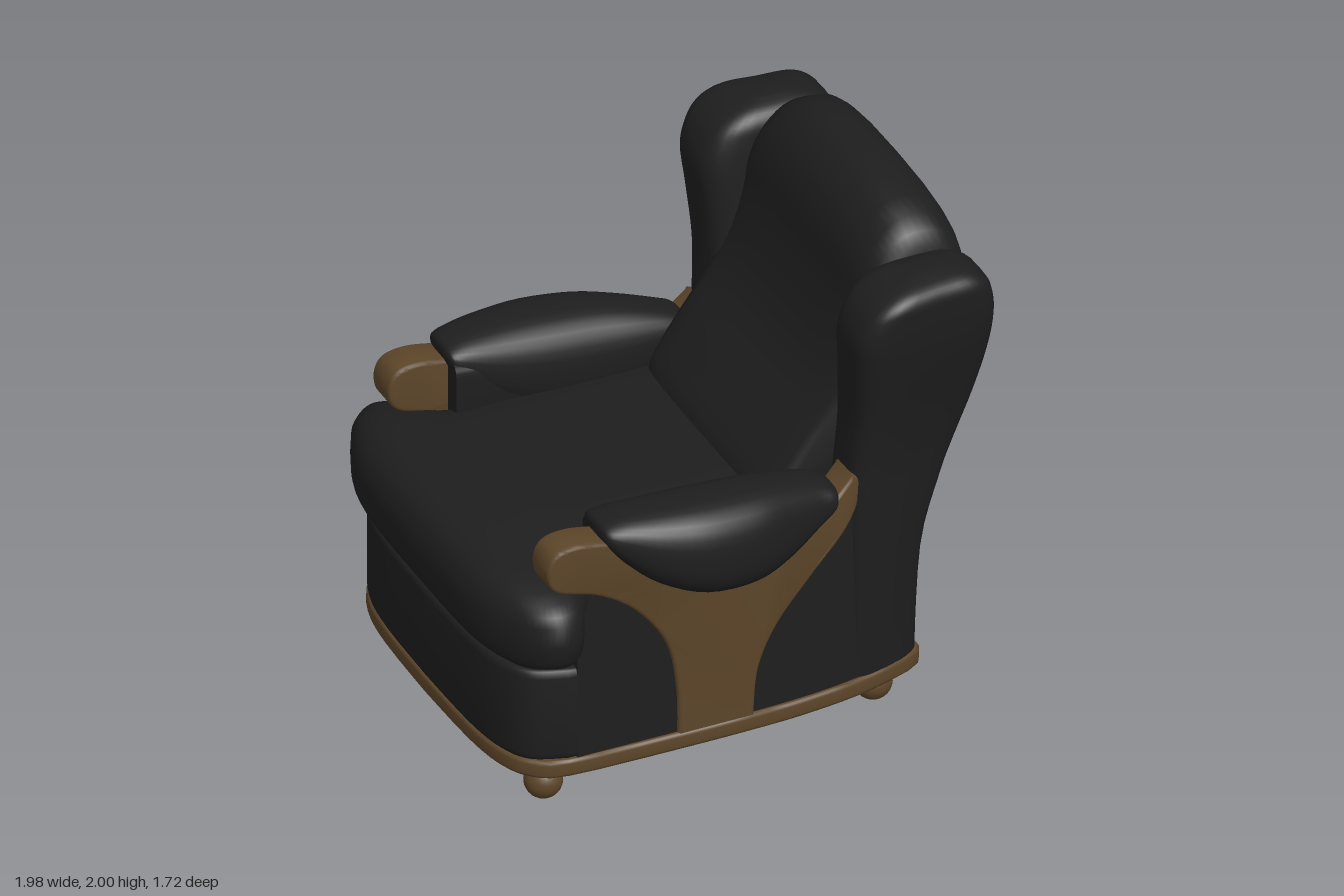
import * as THREE from 'three';
import { toCreasedNormals } from 'three/addons/utils/BufferGeometryUtils.js';

const leather = new THREE.MeshStandardMaterial({ color: 0x1e1e1e });
leather.name = 'black leather';
const wood = new THREE.MeshStandardMaterial({ color: 0x5c4529 });
wood.name = 'brown wood';

const V2 = (p) => new THREE.Vector2(p[0], p[1]);
const V3 = (x, y, z) => new THREE.Vector3(x, y, z);
const clamp01 = (t) => Math.min(1, Math.max(0, t));

// How far the sides of the chair curve inwards towards the back
const inward = (x) => 0.14 * Math.pow(clamp01((x + 0.3) / 1.04), 3.5);

// Skin through closed rings of equal length, capped at both ends, faces outward
function loft(rings) {
  const n = rings[0].length, pos = [], idx = [];
  rings.forEach((r) => r.forEach((p) => pos.push(p.x, p.y, p.z)));
  for (let i = 0; i < rings.length - 1; i++) {
    for (let j = 0; j < n; j++) {
      const a = i * n + j, b = i * n + (j + 1) % n;
      idx.push(a, b, a + n, b, b + n, a + n);
    }
  }
  [0, rings.length - 1].forEach((k) => {
    const c = rings[k].reduce((s, p) => s.add(p), V3(0, 0, 0)).divideScalar(n);
    const ci = pos.length / 3;
    pos.push(c.x, c.y, c.z);
    for (let j = 0; j < n; j++) {
      const a = k * n + j, b = k * n + (j + 1) % n;
      if (k === 0) idx.push(ci, b, a);
      else idx.push(ci, a, b);
    }
  });
  // Turn the skin right side out if its volume is negative
  const at = (i) => V3(pos[3 * i], pos[3 * i + 1], pos[3 * i + 2]);
  let volume = 0;
  for (let i = 0; i < idx.length; i += 3) {
    volume += at(idx[i]).dot(at(idx[i + 1]).cross(at(idx[i + 2])));
  }
  if (volume < 0) idx.reverse();
  const g = new THREE.BufferGeometry();
  g.setAttribute('position', new THREE.Float32BufferAttribute(pos, 3));
  g.setIndex(idx);
  return toCreasedNormals(g, 0.9);
}

// Rounded rectangle cross-section: calls place(u, v) around the rim
function roundedRing(a0, a1, b0, b1, power, place) {
  const ring = [], N = 32;
  const bulge = (t) => Math.sign(t) * Math.pow(Math.abs(t), 2 / power);
  for (let i = 0; i < N; i++) {
    const t = (i / N) * Math.PI * 2;
    ring.push(place((a0 + a1) / 2 + ((a1 - a0) / 2) * bulge(Math.cos(t)),
      (b0 + b1) / 2 + ((b1 - b0) / 2) * bulge(Math.sin(t))));
  }
  return ring;
}

// Fill in smooth rows between the given section rows
function smoothRows(rows, count) {
  const columns = rows[0].map((_, c) => new THREE.SplineCurve(rows.map((r, i) => V2([i, r[c]]))));
  return Array.from({ length: count + 1 }, (_, k) => columns.map((s) => s.getPoint(k / count).y));
}

// Bevelled slab whose outer size stays that of the shape; spans 0..height
function slab(shape, height, size, thick) {
  const g = new THREE.ExtrudeGeometry(shape, {
    depth: height - 2 * thick, bevelSize: size, bevelOffset: -size,
    bevelThickness: thick, bevelSegments: 3, curveSegments: 12,
  });
  g.translate(0, 0, thick);
  return g;
}

// Plan outline, symmetric about z = 0, from a smooth curve through half of its points
function planShape(half, tail) {
  const pts = [...new THREE.SplineCurve(half.map(V2)).getPoints(30), ...tail.map(V2)];
  const other = pts.slice(1).map((p) => new THREE.Vector2(p.x, -p.y)).reverse();
  return new THREE.Shape([...pts, ...other]);
}

const bow = [[-0.954, 0], [-0.945, 0.35], [-0.915, 0.55], [-0.85, 0.67], [-0.72, 0.727]];

export function createModel() {
  const model = new THREE.Group();
  const add = (name, geometry, material) => {
    const m = new THREE.Mesh(geometry, material);
    m.name = name;
    model.add(m);
    return m;
  };
  const addFlat = (name, geometry, material, y) => {
    geometry.rotateX(-Math.PI / 2);
    geometry.translate(0, y, 0);
    return add(name, toCreasedNormals(geometry, 0.7), material);
  };

  // Open base rail: bowed front, sides curving in to a narrower back
  const sides = [-0.3, 0, 0.2, 0.4, 0.55, 0.68].map((x) => [x, 0.737 - inward(x)]);
  const rail = planShape([...bow, ...sides], [[0.725, 0.595], [0.742, 0.565]]);
  rail.holes.push(new THREE.Path(rail.getPoints().map(
    (p) => new THREE.Vector2(-0.1 + (p.x + 0.1) * 0.88, p.y * 0.865)).reverse()));
  addFlat('baseRail', slab(rail, 0.07, 0.012, 0.015), wood, 0.14);

  // Ball feet, the front pair set wider
  for (const [x, z] of [[-0.765, 0.6], [-0.765, -0.6], [0.58, 0.52], [0.58, -0.52]]) {
    add('foot', new THREE.SphereGeometry(0.072, 24, 16), wood).position.set(x, 0.072, z);
  }

  // Front apron under the seat
  const apron = planShape(bow.map(([x, z]) => [x, z * 0.985]), [[-0.66, 0.717]]);
  addFlat('frontApron', slab(apron, 0.38, 0.02, 0.03), leather, 0.205);

  // Seat cushion: fat front roll wider than the arms, thinner deck behind
  // rows: x, bottom, top, half width
  const seat = smoothRows([[-0.995, 0.69, 0.8, 0.32], [-0.985, 0.66, 0.84, 0.47], [-0.955, 0.61, 0.895, 0.6],
    [-0.89, 0.58, 0.935, 0.74], [-0.8, 0.575, 0.948, 0.812], [-0.71, 0.575, 0.946, 0.795],
    [-0.65, 0.6, 0.944, 0.71], [-0.58, 0.74, 0.942, 0.61], [-0.4, 0.77, 0.94, 0.6],
    [0, 0.77, 0.94, 0.6], [0.35, 0.77, 0.94, 0.58]], 50);
  add('seatCushion', loft(seat.map(([x, y0, y1, w]) =>
    roundedRing(y0, y1, -w, w, 3.6, (y, z) => V3(x, y, z)))), leather);

  // Reclined backrest, lofted across its width from a side profile
  const profile = new THREE.CatmullRomCurve3([
    [0.735, 0.21], [0.75, 0.65], [0.82, 0.95], [0.92, 1.25], [0.974, 1.5], [0.986, 1.66], [0.975, 1.725],
    [0.963, 1.735], [0.963, 1.78], [0.95, 1.88], [0.87, 1.983], [0.73, 1.998], [0.63, 1.92], [0.57, 1.8],
    [0.53, 1.6], [0.43, 1.33], [0.25, 1.09], [0.14, 0.92], [0.18, 0.75], [0.45, 0.6], [0.62, 0.45],
    [0.65, 0.21],
  ].map(([x, y]) => V3(x, y, 0)), true, 'centripetal').getPoints(90).slice(0, -1);
  // rows: z, height factor of the crown, depth factor
  const half = [[0, 1, 1], [0.2, 0.992, 0.998], [0.34, 0.968, 0.99], [0.43, 0.93, 0.975],
    [0.49, 0.875, 0.95], [0.52, 0.81, 0.92], [0.53, 0.74, 0.87]];
  const slices = [...half.slice(1).reverse().map(([z, k, s]) => [-z, k, s]), ...half];
  // The rear panel narrows towards the floor
  const narrow = (p) => 1 - clamp01((p.x - 0.5) / 0.2)
    * 0.19 * (1 - Math.pow(clamp01((p.y - 0.2) / 1.5), 1.6));
  add('backrest', loft(slices.map(([z, k, s]) => profile.map((p) => V3(0.7 + (p.x - 0.7) * s,
    p.y > 1.3 ? 1.3 + (p.y - 1.3) * k : Math.max(p.y, 0.205), z * narrow(p))))), leather);

  // Wooden arm support: arm rest, curved neck and foot
  const woodShape = new THREE.Shape();
  woodShape.moveTo(-0.29, 0.2);
  woodShape.splineThru([[-0.295, 0.4], [-0.335, 0.6], [-0.45, 0.77], [-0.6, 0.88], [-0.77, 0.94],
    [-0.81, 1.02], [-0.78, 1.1], [-0.68, 1.12], [-0.52, 1.09]].map(V2));
  [[-0.1, 1.03], [0.05, 1.0], [0.15, 1.0], [0.25, 1.0], [0.34, 1.01], [0.42, 1.09]].forEach(
    ([x, y]) => woodShape.lineTo(x, y));
  woodShape.splineThru([[0.455, 1.06], [0.44, 0.96], [0.38, 0.86], [0.25, 0.73], [0.11, 0.57],
    [0.03, 0.4], [0.01, 0.2]].map(V2));

  // Upholstered side panel: x, top
  const panel = smoothRows([[-0.685, 0.72], [-0.64, 0.86], [-0.55, 0.9], [-0.3, 0.93], [0, 0.92],
    [0.25, 0.93], [0.45, 0.98], [0.6, 0.95], [0.69, 0.7]], 24);

  // Arm pad sections: x, bottom, top, inner z, outer z
  const pad = smoothRows([[-0.585, 1.1, 1.14, 0.57, 0.71], [-0.57, 1.07, 1.157, 0.545, 0.75],
    [-0.5, 0.985, 1.172, 0.53, 0.785], [-0.37, 0.875, 1.176, 0.515, 0.83], [-0.2, 0.8, 1.172, 0.505, 0.858],
    [0, 0.783, 1.155, 0.503, 0.838], [0.15, 0.82, 1.128, 0.505, 0.785], [0.28, 0.895, 1.09, 0.515, 0.735],
    [0.345, 0.95, 1.06, 0.53, 0.718], [0.37, 0.99, 1.03, 0.56, 0.68]], 36);

  // Wing sections: y, front x, rear x, inner z, outer z
  const wing = smoothRows([[0.205, 0.41, 0.73, 0.43, 0.73], [0.65, 0.41, 0.742, 0.44, 0.74],
    [0.95, 0.41, 0.81, 0.45, 0.747], [1.1, 0.42, 0.858, 0.455, 0.752], [1.3, 0.43, 0.92, 0.465, 0.775],
    [1.5, 0.42, 0.96, 0.48, 0.81], [1.66, 0.41, 0.973, 0.495, 0.835], [1.76, 0.44, 0.962, 0.505, 0.845],
    [1.82, 0.49, 0.935, 0.515, 0.845], [1.86, 0.565, 0.88, 0.545, 0.815], [1.88, 0.65, 0.8, 0.6, 0.74]], 40);

  for (const side of [1, -1]) {
    const label = side > 0 ? 'left' : 'right';
    const support = slab(woodShape, 0.14, 0.015, 0.015);
    support.translate(0, 0, side * 0.665 - 0.07);
    const p = support.attributes.position;
    for (let i = 0; i < p.count; i++) p.setZ(i, p.getZ(i) - side * inward(p.getX(i)));
    add(label + 'ArmSupport', toCreasedNormals(support, 0.7), wood);

    add(label + 'SidePanel', loft(panel.map(([x, top]) => [[0.2, 0.61], [0.2, 0.719], [top, 0.719], [top, 0.61]]
      .map(([y, z]) => V3(x, y, side * (z - inward(x)))))), leather);

    add(label + 'ArmPad', loft(pad.map(([x, y0, y1, z0, z1]) =>
      roundedRing(y0, y1, z0, z1, 2.6, (y, z) => V3(x, y, side * z)))), leather);

    // Upholstery between the pad and the seat, lining the inside of the arm
    add(label + 'ArmLining', loft([-0.575, 0.4].map((x) =>
      roundedRing(0.87, x < 0 ? 1.11 : 1.0, 0.525, 0.605, 4, (y, z) => V3(x, y, side * z)))), leather);

    // The outer face of the wing follows the curve of the side, less so near the top
    add(label + 'Wing', loft(wing.map(([y, x0, x1, z0, z1]) => {
      const amount = 1 - 0.6 * clamp01((y - 0.3) / 1.3);
      return roundedRing(x0, x1, z0, z1, 4, (x, z) =>
        V3(x, y, side * (z - amount * inward(x) * (z - z0) / (z1 - z0))));
    })), leather);
  }
  return model;
}
